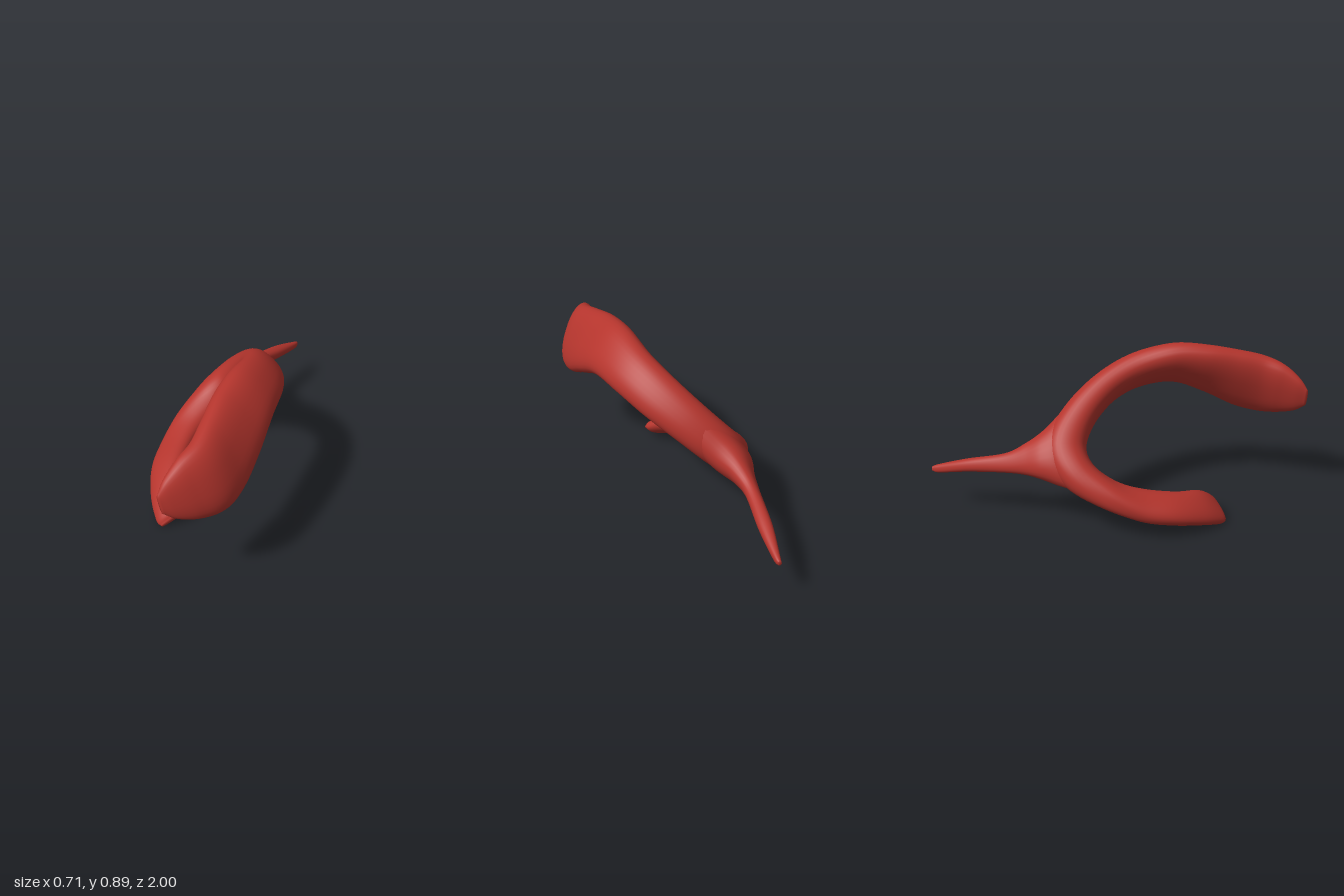
import * as THREE from 'three';

// Smooth limb lofted through stations: [centre, half-width vector, half-thickness]
function loft(stations, steps, sides, material, name) {
  const curve = (list) => new THREE.CatmullRomCurve3(list, false, 'catmullrom', 0.5);
  const path = curve(stations.map((s) => new THREE.Vector3(...s[0])));
  const widths = curve(stations.map((s) => new THREE.Vector3(...s[1])));
  const depths = curve(stations.map((s) => new THREE.Vector3(s[2], 0, 0)));
  const positions = [];
  const index = [];
  const soften = (v) => Math.sign(v) * Math.abs(v) ** 0.87;

  for (let i = 0; i <= steps; i++) {
    const t = i / steps;
    const c = path.getPoint(t);
    const w = widths.getPoint(t);
    const n = path.getTangent(t).cross(w).normalize().multiplyScalar(depths.getPoint(t).x);
    for (let j = 0; j < sides; j++) {
      const a = (j / sides) * Math.PI * 2;
      const p = c.clone()
        .addScaledVector(w, soften(Math.cos(a)))
        .addScaledVector(n, soften(Math.sin(a)));
      positions.push(p.x, p.y, p.z);
    }
  }
  for (let i = 0; i < steps; i++) {
    for (let j = 0; j < sides; j++) {
      const k = (j + 1) % sides;
      const a = i * sides + j, b = i * sides + k;
      index.push(a, b, a + sides, b, b + sides, a + sides);
    }
  }
  // Closed ends
  const first = positions.length / 3;
  positions.push(...stations[0][0], ...stations[stations.length - 1][0]);
  for (let j = 0; j < sides; j++) {
    const k = (j + 1) % sides;
    index.push(first, k, j, first + 1, steps * sides + j, steps * sides + k);
  }
  const geometry = new THREE.BufferGeometry();
  geometry.setAttribute('position', new THREE.Float32BufferAttribute(positions, 3));
  geometry.setIndex(index);
  geometry.computeVertexNormals();
  const mesh = new THREE.Mesh(geometry, material);
  mesh.name = name;
  return mesh;
}

export function createModel() {
  const group = new THREE.Group();
  group.name = 'forkedHook';
  const red = new THREE.MeshStandardMaterial({ color: 0xb5352d });
  red.name = 'brick red';

  // Curved body: broad upper paddle, round bend, smaller lower prong
  group.add(loft([
    [[0.085, 0.61, 0.995], [-0.01, 0.045, 0], 0.01],
    [[0.118, 0.615, 0.95], [-0.03, 0.1, 0], 0.034],
    [[0.172, 0.628, 0.87], [-0.052, 0.15, 0], 0.058],
    [[0.222, 0.642, 0.77], [-0.068, 0.173, 0], 0.077],
    [[0.235, 0.673, 0.64], [-0.085, 0.173, 0], 0.08],
    [[0.235, 0.728, 0.48], [-0.1, 0.145, 0], 0.08],
    [[0.232, 0.767, 0.3], [-0.098, 0.112, 0], 0.08],
    [[0.215, 0.735, 0.1], [-0.092, 0.09, 0], 0.08],
    [[0.155, 0.66, -0.07], [-0.092, 0.077, 0], 0.08],
    [[0.05, 0.545, -0.21], [-0.086, 0.07, 0], 0.09],
    [[-0.065, 0.42, -0.28], [-0.084, 0.066, 0], 0.105],
    [[-0.165, 0.315, -0.22], [-0.086, 0.055, 0], 0.092],
    [[-0.235, 0.235, -0.07], [-0.09, 0.01, 0], 0.074],
    [[-0.257, 0.178, 0.1], [-0.085, -0.035, 0], 0.063],
    [[-0.238, 0.143, 0.27], [-0.086, -0.042, 0], 0.058],
    [[-0.175, 0.108, 0.41], [-0.083, -0.054, 0.015], 0.05],
    [[-0.115, 0.063, 0.5], [-0.066, -0.05, 0.035], 0.037],
    [[-0.092, 0.05, 0.527], [-0.048, -0.04, 0.033], 0.012],
  ], 119, 32, red, 'hookBody'));

  // Tapering tail flaring out of the bend
  group.add(loft([
    [[-0.06, 0.43, -0.25], [0.16, 0.175, 0], 0.07],
    [[-0.07, 0.405, -0.32], [0.122, 0.14, 0], 0.094],
    [[-0.08, 0.382, -0.4], [0.082, 0.098, 0], 0.085],
    [[-0.075, 0.362, -0.49], [0.044, 0.07, 0], 0.056],
    [[-0.06, 0.335, -0.6], [0.022, 0.046, 0], 0.037],
    [[0, 0.297, -0.8], [0.01, 0.034, 0], 0.035],
    [[0.047, 0.257, -0.96], [0.004, 0.023, 0], 0.018],
    [[0.055, 0.252, -1], [0.002, 0.012, 0], 0.009],
  ], 56, 28, red, 'tail'));

  return group;
}
